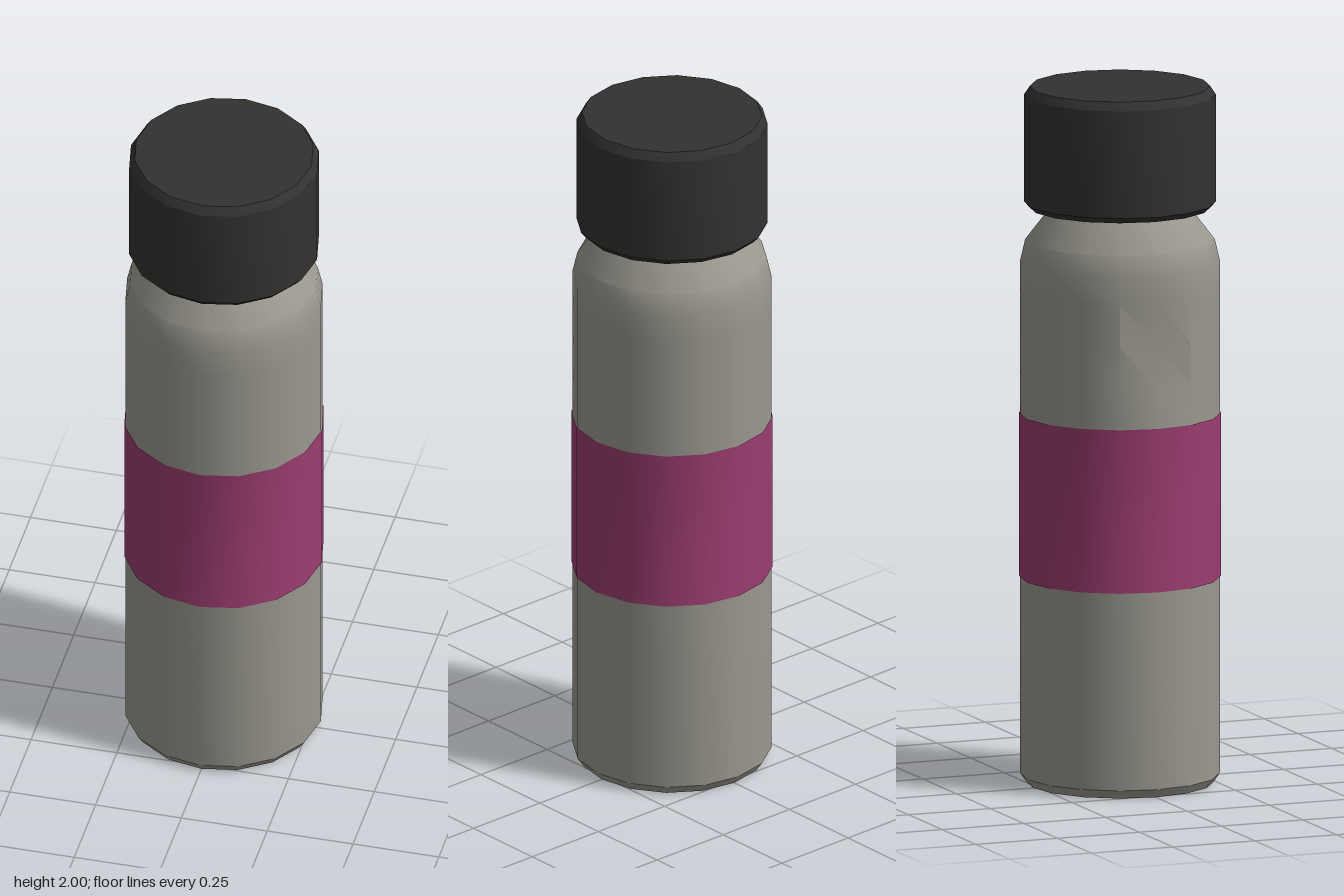
import * as THREE from 'three';
import { toCreasedNormals } from 'three/addons/utils/BufferGeometryUtils.js';

const SIDES = 16;

// Turned part from [radius, height] pairs, listed from the bottom up
function turned(profile) {
  return new THREE.LatheGeometry(profile.map(([r, y]) => new THREE.Vector2(r, y)), SIDES);
}

function addPart(group, name, geometry, color, side = THREE.FrontSide) {
  const material = new THREE.MeshStandardMaterial({ color, side });
  const mesh = new THREE.Mesh(toCreasedNormals(geometry, 0.53), material);
  mesh.name = name;
  group.add(mesh);
}

export function createModel() {
  const bottle = new THREE.Group();
  bottle.name = 'bottle';

  // Body with bevelled foot, rounded shoulder and a neck that runs into the cap
  const body = turned([
    [0, 0], [0.265, 0], [0.282, 0.025], [0.282, 1.08], [0.282, 1.18], [0.282, 1.3],
    [0.282, 1.42], [0.282, 1.5], [0.268, 1.56], [0.21, 1.635], [0.195, 1.66], [0.195, 1.7],
  ]);
  // Slight dent on the right side above the band
  const pos = body.attributes.position;
  for (let i = 0; i < pos.count; i++) {
    const y = pos.getY(i);
    if (pos.getX(i) < -0.27 && y > 1.08 && y < 1.5) {
      pos.setX(i, pos.getX(i) + 0.016 * Math.sin(Math.PI * (y - 1.08) / 0.42));
    }
  }
  addPart(bottle, 'body', body, 0x9a988f);

  // Coloured band around the middle
  const band = new THREE.CylinderGeometry(0.285, 0.285, 0.47, SIDES, 1, true);
  band.translate(0, 0.827, 0);
  addPart(bottle, 'band', band, 0x9c3d70, THREE.DoubleSide);

  // Cap with bevelled rims and a closed underside
  addPart(bottle, 'cap', turned([
    [0, 1.652], [0.257, 1.652], [0.271, 1.668], [0.271, 1.976], [0.255, 2], [0, 2],
  ]), 0x333230);

  return bottle;
}
